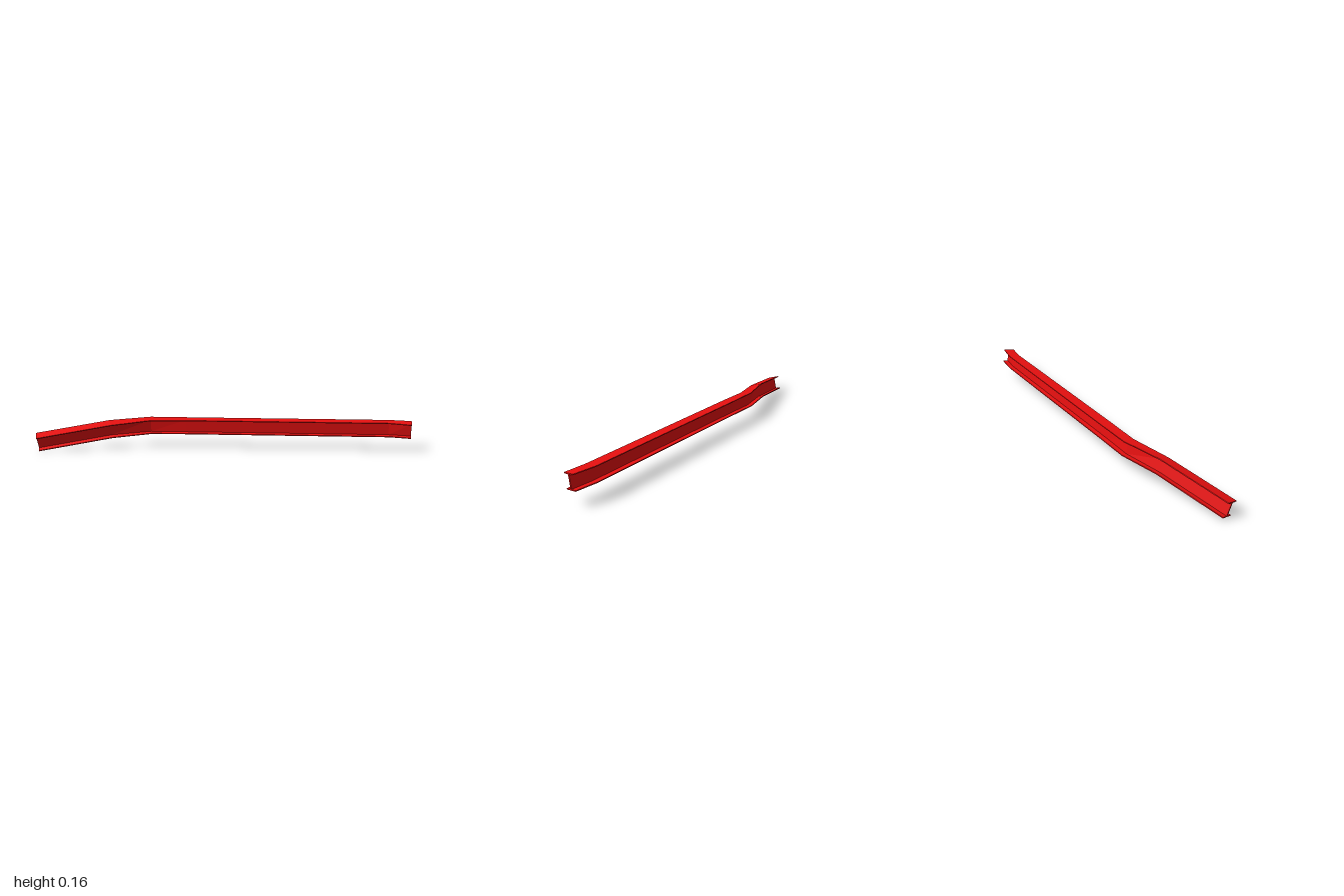
import * as THREE from 'three';

// I-section outline in (u = across, v = up), counter-clockwise
const W = 0.0305, H = 0.039, T = 0.006, B = 0.004;
const half = [[-W, -H], [W, -H], [W, -H + T * 0.8], [B, -H + T], [B, H - T], [W, H - T * 0.8]];
const section = [...half, ...half.map(([u, v]) => [-u, -v])];

// Stations along the beam: centre x, y, z and roll in degrees
const stations = [
  [-0.989, 0.049, 0.066, 15.5],
  [-0.61, 0.105, -0.023, 15],
  [-0.4, 0.117, -0.075, 7],
  [-0.21, 0.118, -0.074, 4],
  [0.88, 0.119, -0.074, 4],
  [0.996, 0.117, -0.058, 8],
];

// Section points at a station, mitred square to the path
function ring(i) {
  const [cx, cy, cz, deg] = stations[i];
  const p = stations[Math.max(i - 1, 0)];
  const q = stations[Math.min(i + 1, stations.length - 1)];
  const slopeY = (q[1] - p[1]) / (q[0] - p[0]);
  const slopeZ = (q[2] - p[2]) / (q[0] - p[0]);
  const r = THREE.MathUtils.degToRad(deg), c = Math.cos(r), s = Math.sin(r);
  return section.map(([u, v]) => {
    const dz = u * c + v * s, dy = -u * s + v * c;
    return [cx - dz * slopeZ - dy * slopeY, cy + dy, cz + dz];
  });
}

function beamGeometry() {
  const n = section.length, last = stations.length - 1;
  const positions = stations.flatMap((_, i) => ring(i).flat());
  const index = [];
  // Side faces
  for (let s = 0; s < last; s++) {
    for (let i = 0; i < n; i++) {
      const j = (i + 1) % n;
      const a = s * n + i, b = s * n + j, c = b + n, d = a + n;
      index.push(a, d, c, a, c, b);
    }
  }
  // End caps
  const outline = section.map(([u, v]) => new THREE.Vector2(u, v));
  for (const [a, b, c] of THREE.ShapeUtils.triangulateShape(outline, [])) {
    const o = last * n;
    index.push(a, b, c, o + a, o + c, o + b);
  }
  const geometry = new THREE.BufferGeometry();
  geometry.setAttribute('position', new THREE.Float32BufferAttribute(positions, 3));
  geometry.setIndex(index);
  const flat = geometry.toNonIndexed();
  flat.computeVertexNormals();
  return flat;
}

export function createModel() {
  const group = new THREE.Group();
  group.name = 'bentBeam';
  const material = new THREE.MeshStandardMaterial({ color: 0xe81010 });
  const beam = new THREE.Mesh(beamGeometry(), material);
  beam.name = 'iBeam';
  group.add(beam);
  return group;
}
